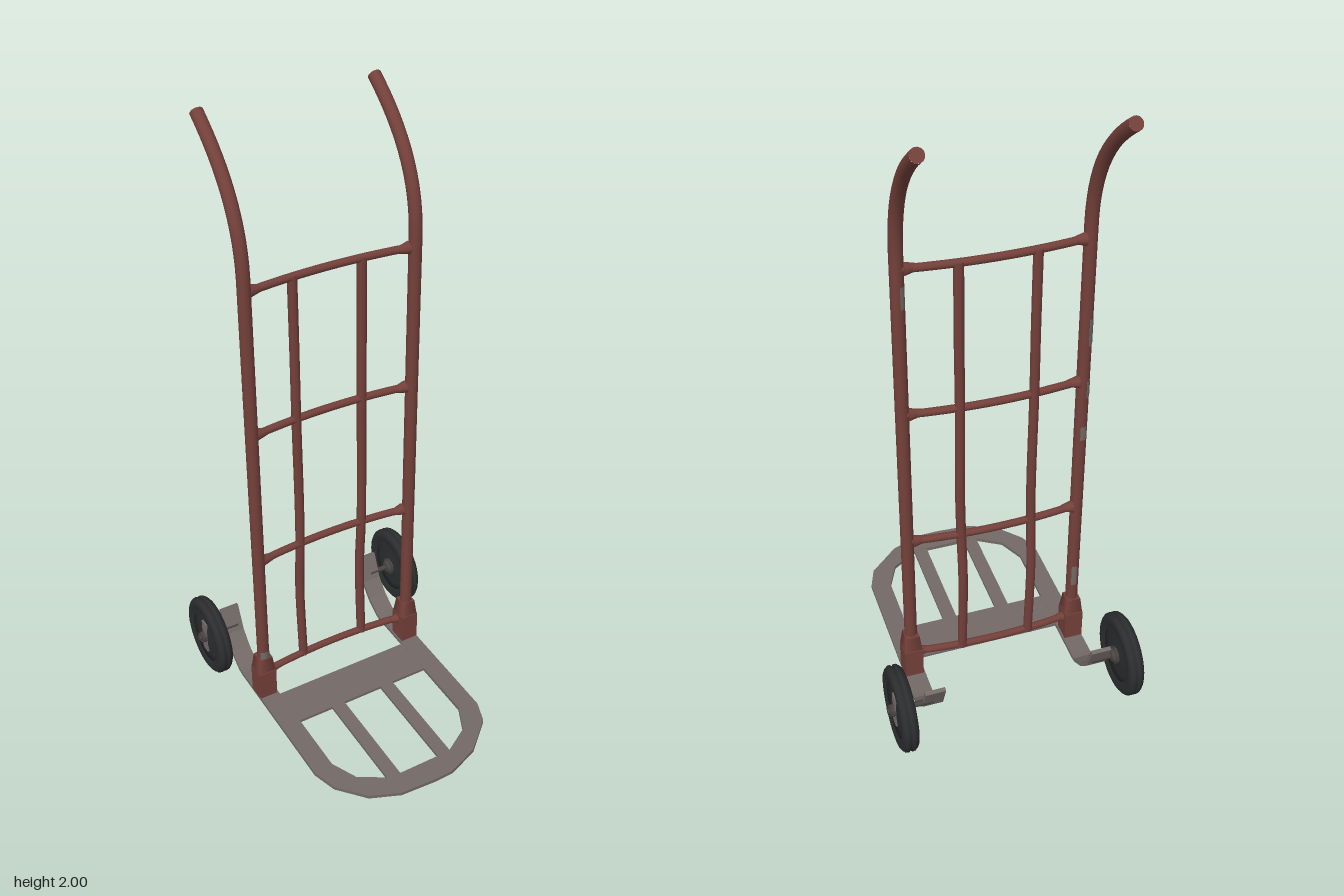
import * as THREE from 'three';

const paint = new THREE.MeshStandardMaterial({ color: 0x74403a });
paint.name = 'rust red paint';
const steel = new THREE.MeshStandardMaterial({ color: 0x736a67 });
steel.name = 'bare steel';
const rubber = new THREE.MeshStandardMaterial({ color: 0x2b2d2e });
rubber.name = 'black rubber';
const hubMetal = new THREE.MeshStandardMaterial({ color: 0x4a4443 });
hubMetal.name = 'dark hub metal';

const V = (x, y, z) => new THREE.Vector3(x, y, z);
const P = (x, y) => new THREE.Vector2(x, y);
const POST_X = [-0.285, 0.265];
const POST_Z = -0.12;

export function createModel() {
  const model = new THREE.Group();
  model.name = 'handTruck';

  function add(name, geometry, material, x = 0, y = 0, z = 0, parent = model) {
    const mesh = new THREE.Mesh(geometry, material);
    mesh.name = name;
    mesh.position.set(x, y, z);
    parent.add(mesh);
    return mesh;
  }
  function tube(name, curve, radius, segments, sides) {
    add(name, new THREE.TubeGeometry(curve, segments, radius, sides), paint);
  }

  // Posts with curved handles, capped ends and bottom sockets
  POST_X.forEach((x) => {
    const path = new THREE.CurvePath();
    path.add(new THREE.LineCurve3(V(x, 0.03, POST_Z), V(x, 1.58, POST_Z)));
    path.add(new THREE.CubicBezierCurve3(
      V(x, 1.58, POST_Z), V(x, 1.76, POST_Z), V(x, 1.88, -0.21), V(x, 1.982, -0.358)));
    tube('postAndHandle', path, 0.02, 60, 14);
    const cap = add('handleEnd', new THREE.CircleGeometry(0.02, 14), paint, x, 1.982, -0.358);
    cap.lookAt(x, 1.982 + 0.102, -0.358 - 0.148);

    add('socketBase', new THREE.BoxGeometry(0.06, 0.11, 0.064), paint, x, 0.085, -0.122);
    const collar = new THREE.CylinderGeometry(0.032, 0.041, 0.055, 4);
    collar.rotateY(Math.PI / 4);
    add('socketCollar', collar, paint, x, 0.1675, -0.122);
  });

  // Bowed crossbars with flared ends
  [0.115, 0.59, 1.068, 1.545].forEach((y) => {
    tube('crossbar', new THREE.QuadraticBezierCurve3(
      V(POST_X[0], y, -0.124), V(-0.01, y, -0.166), V(POST_X[1], y, -0.124)), 0.012, 16, 10);
    POST_X.forEach((x, i) => {
      const s = i ? -1 : 1;
      const flare = new THREE.CylinderGeometry(0.011, 0.02, 0.035, 10);
      flare.rotateZ(-s * Math.PI / 2);
      add('crossbarFlare', flare, paint, x + s * 0.034, y, -0.128);
    });
  });

  // Slightly bent upright bars
  [-0.125, 0.1].forEach((x) => {
    const bends = [[0.11, 0, 0], [0.4, -0.003, -0.006], [0.59, 0, 0], [0.75, 0.004, -0.005],
      [1.07, 0, 0], [1.3, 0.002, -0.003], [1.55, 0, 0]];
    tube('uprightBar', new THREE.CatmullRomCurve3(
      bends.map(([y, dx, dz]) => V(x + dx, y, -0.143 + dz))), 0.0155, 24, 8);
  });

  // Toe plate: a U-shaped strip with a cross plate and two slats
  const uShape = new THREE.Shape([
    [-0.315, -0.235], [-0.315, 0.28], [-0.29, 0.36], [-0.215, 0.445], [-0.12, 0.485],
    [0, 0.492], [0.065, 0.49], [0.17, 0.45], [0.27, 0.36], [0.295, 0.29], [0.295, -0.235],
    [0.23, -0.235], [0.23, 0.275], [0.19, 0.36], [0.1, 0.415], [-0.12, 0.415],
    [-0.21, 0.36], [-0.25, 0.275], [-0.25, -0.235],
  ].map(([x, z]) => P(x, z)));
  const uGeometry = new THREE.ExtrudeGeometry(uShape, { depth: 0.012, bevelEnabled: false });
  uGeometry.rotateX(Math.PI / 2);
  add('toePlateRim', uGeometry, steel, 0, 0.036, 0);
  add('toePlateCrossPlate', new THREE.BoxGeometry(0.49, 0.01, 0.14), steel, -0.01, 0.03, -0.01);
  [-0.105, 0.081].forEach((x) =>
    add('toePlateSlat', new THREE.BoxGeometry(0.046, 0.01, 0.37), steel, x, 0.03, 0.24));

  // Axle brackets bending up from the rim arms (shape x runs backwards)
  const bracketShape = new THREE.Shape([
    [0.23, 0.024], [0.255, 0.028], [0.31, 0.062], [0.355, 0.11], [0.392, 0.198],
    [0.38, 0.203], [0.344, 0.118], [0.303, 0.073], [0.25, 0.038], [0.23, 0.036],
  ].map(([u, y]) => P(u, y)));
  [-0.315, 0.23].forEach((x) => {
    const bracket = new THREE.ExtrudeGeometry(bracketShape, { depth: 0.065, bevelEnabled: false });
    bracket.rotateY(Math.PI / 2);
    add('axleBracket', bracket, steel, x, 0, 0);
  });

  // Wheels: ribbed tyre, dished disc, hub and axle
  const tyreProfile = [
    [0.09, -0.02], [0.108, -0.026], [0.122, -0.025], [0.129, -0.02], [0.129, -0.016],
    [0.134, -0.014], [0.135, -0.006], [0.13, -0.004], [0.13, 0.004], [0.135, 0.006],
    [0.134, 0.014], [0.129, 0.016], [0.129, 0.02], [0.122, 0.025], [0.108, 0.026], [0.09, 0.02],
  ].map(([r, a]) => P(r, a));
  const discProfile = [[0, -0.02], [0.04, -0.018], [0.075, -0.01], [0.092, -0.02],
    [0.092, 0.02], [0.075, 0.01], [0.04, 0.018], [0, 0.02]].map(([r, a]) => P(r, a));
  [-1, 1].forEach((s) => {
    const wheel = new THREE.Group();
    wheel.name = s > 0 ? 'leftWheel' : 'rightWheel';
    wheel.position.set(s * 0.367, 0.135, -0.36);
    wheel.rotation.z = -s * Math.PI / 2;
    model.add(wheel);
    add('tyre', new THREE.LatheGeometry(tyreProfile, 32), rubber, 0, 0, 0, wheel);
    add('wheelDisc', new THREE.LatheGeometry(discProfile, 32), rubber, 0, 0, 0, wheel);
    // Local y points outwards, local x runs up and down
    add('hubStrip', new THREE.BoxGeometry(0.12, 0.006, 0.032), steel, 0, 0.019, 0, wheel);
    add('hub', new THREE.CylinderGeometry(0.018, 0.03, 0.06, 8), hubMetal, 0, 0.002, 0, wheel);
    add('hubNut', new THREE.CylinderGeometry(0.024, 0.024, 0.008, 4), hubMetal, 0, 0.032, 0, wheel);
    add('innerHub', new THREE.CylinderGeometry(0.03, 0.018, 0.016, 8), hubMetal, 0, -0.03, 0, wheel);
    add('axle', new THREE.CylinderGeometry(0.009, 0.009, 0.145, 10), hubMetal, 0, -0.03, 0, wheel);
  });

  // Worn paint patches: [post, height, length, start angle, sweep]
  [[0, 0.2, 0.05, -0.9, 1.8], [0, 1.24, 0.09, 3.3, 1.1], [0, 1.04, 0.06, 3.4, 0.9],
    [0, 0.88, 0.05, 2.8, 1.0], [0, 0.3, 0.08, 2.6, 0.9], [1, 1.46, 0.07, 3.3, 0.9],
  ].forEach(([i, y, length, start, sweep]) =>
    add('wornPaint', new THREE.CylinderGeometry(0.0207, 0.0207, length, 6, 1, true, start, sweep),
      steel, POST_X[i], y, POST_Z));

  return model;
}
